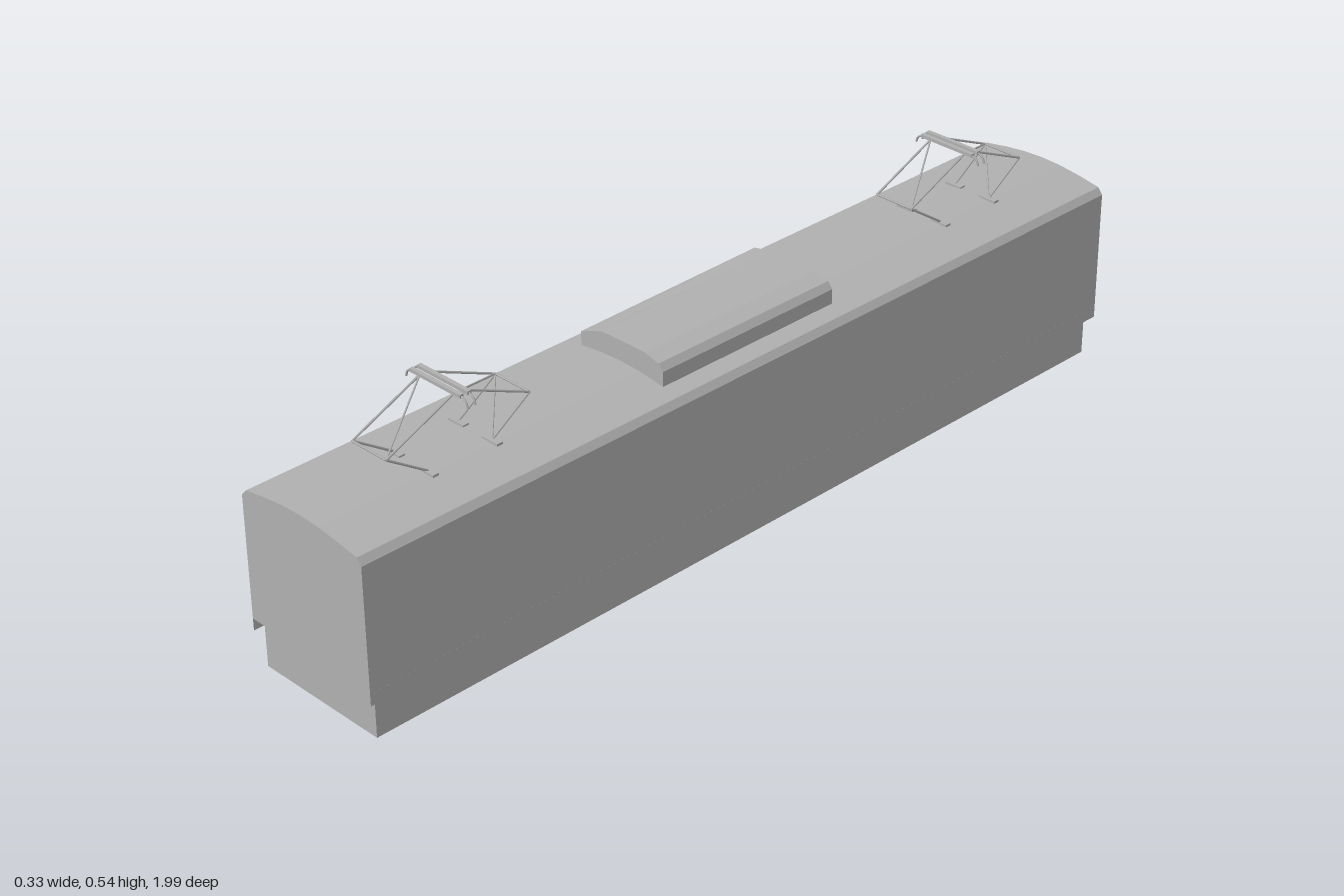
import * as THREE from 'three';

const grey = new THREE.MeshStandardMaterial({ color: 0xb0b0b0, side: THREE.DoubleSide });
grey.name = 'plain grey';

function part(name, geometry, parent) {
  const mesh = new THREE.Mesh(geometry, grey);
  mesh.name = name;
  parent.add(mesh);
  return mesh;
}

// Flat-faced open skin between two cross-sections of [x, y, z] points
function skin(a, b) {
  const p = [];
  for (let i = 0; i < a.length - 1; i++) {
    p.push(...a[i], ...b[i + 1], ...a[i + 1], ...a[i], ...b[i], ...b[i + 1]);
  }
  const g = new THREE.BufferGeometry();
  g.setAttribute('position', new THREE.Float32BufferAttribute(p, 3));
  g.computeVertexNormals();
  return g;
}

const at = (profile, z) => profile.map(([x, y]) => [x, y, z]);

function endPlate(name, profile, z, parent) {
  const shape = new THREE.Shape(profile.map(([x, y]) => new THREE.Vector2(x, y)));
  part(name, new THREE.ShapeGeometry(shape), parent).position.z = z;
}

// Round rod between two points
function rod(name, a, b, radius, parent) {
  const from = new THREE.Vector3(...a), to = new THREE.Vector3(...b);
  const dir = to.clone().sub(from);
  const mesh = part(name, new THREE.CylinderGeometry(radius, radius, dir.length(), 6), parent);
  mesh.position.copy(from).add(to).multiplyScalar(0.5);
  mesh.quaternion.setFromUnitVectors(new THREE.Vector3(0, 1, 0), dir.normalize());
}

function pantograph(z, name) {
  const g = new THREE.Group();
  g.name = name;
  const X = 0.046, base = 0.4, knee = 0.461, top = 0.53, r = 0.0024;
  for (const s of [-1, 1]) {
    const foot = s * 0.075, joint = s * 0.167, head = s * 0.008;
    for (const x of [-X, X]) {
      rod('lowerArm', [x, base, foot], [x, knee, joint], r, g);
      rod('upperArm', [x, knee, joint], [x, top, head], r, g);
      part('foot', new THREE.BoxGeometry(0.042, 0.005, 0.014), g).position.set(x, base - 0.001, foot);
    }
    rod('kneeBar', [-X, knee, joint], [X, knee, joint], r, g);
    rod('lowerBrace', [s * X, knee, joint], [-s * X, base, foot], r * 0.8, g);
    rod('upperBrace', [s * X, knee, joint], [-s * X, top, head], r * 0.8, g);

    // Contact strip with drooping horns
    const strip = part('contactStrip', new THREE.BoxGeometry(0.136, 0.007, 0.009), g);
    strip.position.set(0, 0.533, s * 0.009);
    for (const side of [-1, 1]) {
      const horn = new THREE.CatmullRomCurve3([[0.06, 0.533], [0.07, 0.531], [0.079, 0.525], [0.083, 0.514]]
        .map(([x, y]) => new THREE.Vector3(side * x, y, s * 0.009)));
      part('horn', new THREE.TubeGeometry(horn, 8, 0.0022, 6), g);
    }
  }
  g.position.z = z;
  return g;
}

export function createModel() {
  const model = new THREE.Group();
  model.name = 'railVehicle';

  // Body shell with cambered roof, open underneath
  const roof = [[-0.165, 0.368], [-0.152, 0.382], [-0.1, 0.391], [-0.05, 0.397], [0, 0.399],
    [0.05, 0.397], [0.1, 0.391], [0.152, 0.382], [0.163, 0.368]];
  const section = [[-0.165, 0.079], ...roof, [0.164, 0.079]];
  const endSection = [[-0.165, 0.105], ...roof, [0.164, 0.105]];
  part('bodyShell', skin(at(section, 0.995), at(section, -0.995)), model);
  endPlate('frontEnd', endSection, 0.995, model);
  endPlate('backEnd', endSection, -0.995, model);
  part('backLowerEdge', skin([[-0.165, 0.105, -0.995], [0.164, 0.105, -0.995]],
    [[-0.165, 0.079, -0.985], [0.164, 0.079, -0.985]]), model);

  // Recessed skirt, open at top and bottom
  const plan = [[-0.152, 0.98], [0.156, 0.98], [0.156, -0.97], [-0.152, -0.97], [-0.152, 0.98]];
  const rim = [[-0.165, 0.995], [0.164, 0.995], [0.164, -0.995], [-0.165, -0.995], [-0.165, 0.995]];
  const level = (pts, y) => pts.map(([x, z]) => [x, y, z]);
  part('skirt', skin(level(plan, 0), level(plan, 0.105)), model);
  part('skirtLedge', skin(level(plan, 0.105), level(rim, 0.105)), model);

  // Roof housing, with one shoulder that tapers along its length
  const right = [[0, 0.443], [0.066, 0.443], [0.103, 0.434], [0.114, 0.42], [0.114, 0.387]];
  const front = [[-0.107, 0.387], [-0.107, 0.42], [-0.075, 0.433], [-0.048, 0.442], ...right];
  const back = [[-0.107, 0.387], [-0.107, 0.42], [-0.095, 0.434], [-0.048, 0.442], ...right];
  part('roofHousing', skin(at(front, 0.235), at(back, -0.222)), model);
  endPlate('housingFront', front, 0.235, model);
  endPlate('housingBack', back, -0.222, model);

  model.add(pantograph(0.67, 'frontPantograph'), pantograph(-0.692, 'rearPantograph'));
  return model;
}
